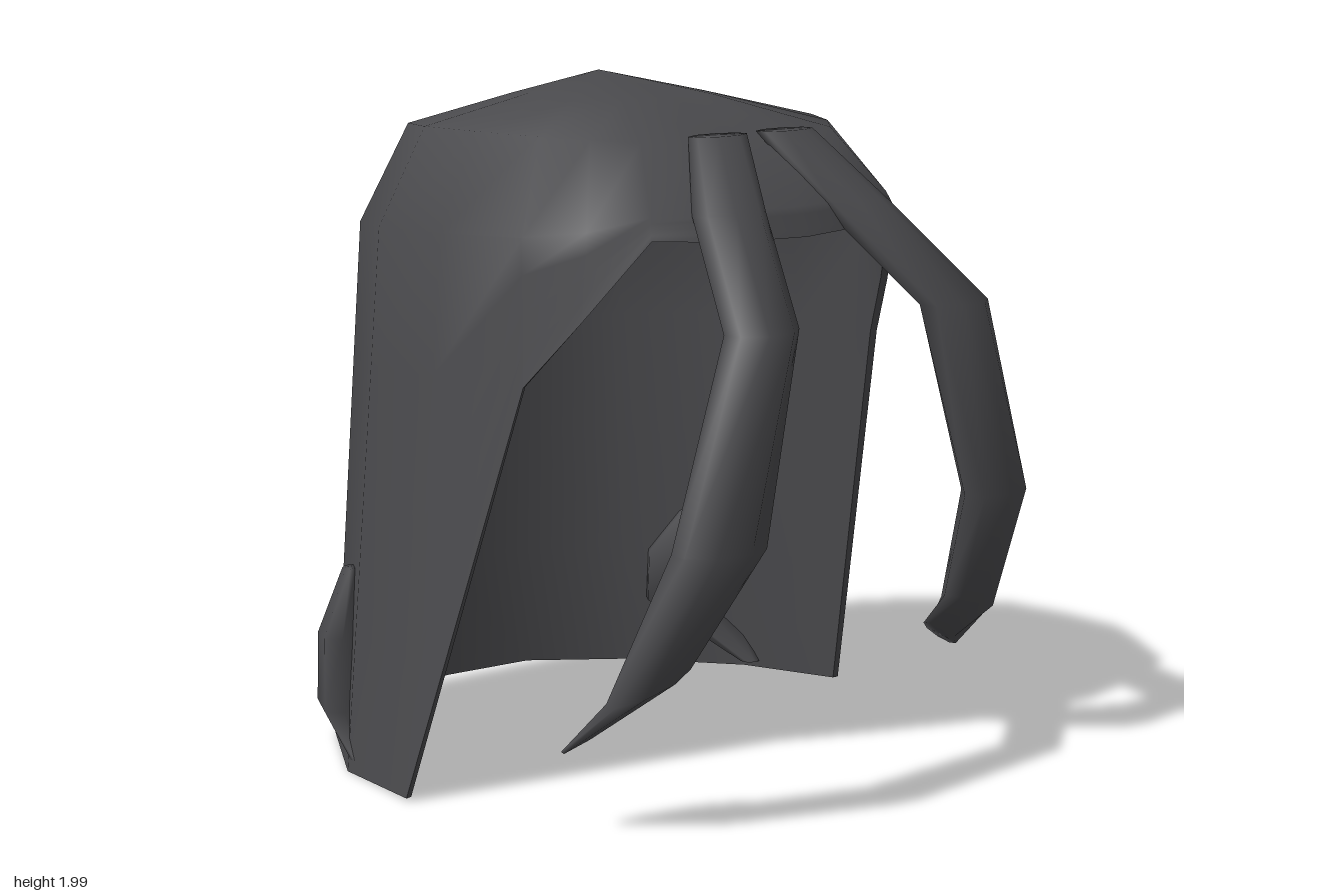
import * as THREE from 'three';
import { mergeVertices } from 'three/addons/utils/BufferGeometryUtils.js';

const V = (x, y, z) => new THREE.Vector3(x, y, z);

// Skins a stack of closed rings (top to bottom, clockwise from above)
function loft(rings) {
  const pos = [];
  const tri = (a, b, c) => {
    if (a.distanceTo(b) < 1e-5 || b.distanceTo(c) < 1e-5 || c.distanceTo(a) < 1e-5) return;
    for (const p of [a, b, c]) pos.push(p.x, p.y, p.z);
  };
  for (let i = 0; i < rings.length - 1; i++) {
    const n = rings[i].length;
    for (let j = 0; j < n; j++) {
      const k = (j + 1) % n;
      const a = rings[i][j], b = rings[i][k], c = rings[i + 1][j], d = rings[i + 1][k];
      tri(a, b, d);
      tri(a, d, c);
    }
  }
  let g = new THREE.BufferGeometry();
  g.setAttribute('position', new THREE.Float32BufferAttribute(pos, 3));
  g = mergeVertices(g, 1e-4);
  g.computeVertexNormals();
  return g;
}

// Lock of hair from sections [x, y, z, half width, half depth, tilt, turn], capped at both ends
function lock(sections, side) {
  const rings = sections.map(([x, y, z, rx, rz, tilt, turn]) => {
    const ring = [];
    const c = Math.cos(turn), s = Math.sin(turn);
    for (let k = 0; k < 8; k++) {
      const a = ((k + 0.5) / 8) * Math.PI * 2;
      const u = Math.cos(a) * rx * 1.06, w = Math.sin(a) * rz * 1.06;
      ring.push(V((x + u * c - w * s) * side, y - u * tilt, z + u * s + w * c));
    }
    return side < 0 ? ring.reverse() : ring;
  });
  const cap = ([x, y, z]) => Array.from({ length: 8 }, () => V(x * side, y, z));
  return loft([cap(sections[0]), ...rings, cap(sections[sections.length - 1])]);
}

// Half outline from back to front: [crown x, crown y, crown z, hem x, hem y, hem z]
const OUTLINE = [
  [0, 1.54, -0.85, 0, 0.03, -0.93],
  [0.29, 1.54, -0.81, 0.31, 0.03, -0.88],
  [0.53, 1.56, -0.66, 0.62, 0.01, -0.71],
  [0.69, 1.58, -0.38, 0.84, 0.01, -0.38],
  [0.715, 1.59, -0.08, 0.905, 0.02, -0.04],
  [0.69, 1.60, 0.22, 0.725, 1.20, 0.26],
  [0.60, 1.62, 0.38, 0.625, 1.38, 0.385],
  [0.48, 1.66, 0.50, 0.50, 1.60, 0.525],
  [0.26, 1.66, 0.57, 0.27, 1.585, 0.60],
  [0, 1.66, 0.59, 0, 1.58, 0.63],
];
const CENTRE_Z = -0.17;

// Rings of the shell, moved inward by the given inset
function shellRings(inset) {
  const mirrored = OUTLINE.slice(1, -1).reverse().map(([x, y, z, hx, hy, hz]) => [-x, y, z, -hx, hy, hz]);
  const columns = [...OUTLINE, ...mirrored];
  const rings = [columns.map(() => V(0, 2 - inset, -0.2))];
  // Domed top: [scale, height, extra height toward the sides]
  for (const [s, h, lift] of [[0.38, 1.935, 0], [0.8, 1.81, 0.05]]) {
    rings.push(columns.map(([x, , z]) =>
      V(x * s, h - inset + lift * Math.abs(x) / 0.71, CENTRE_Z + (z - CENTRE_Z) * s)));
  }
  // Walls from the crown to the hem
  for (const t of [0, 0.25, 0.5, 0.75, 1]) {
    rings.push(columns.map(([x, y, z, hx, hy, hz]) => V(x, y, z).lerp(V(hx, hy, hz), t)));
  }
  for (const p of rings.slice(1).flat()) {
    const r = Math.hypot(p.x, p.z - CENTRE_Z);
    p.x -= (p.x / r) * inset;
    p.z -= ((p.z - CENTRE_Z) / r) * inset;
  }
  return rings;
}

const FRONT_LOCK = [
  [0.135, 1.855, 0.415, 0.1, 0.045, 0, 0],
  [0.25, 1.66, 0.57, 0.115, 0.075, 0, 0],
  [0.395, 1.38, 0.83, 0.115, 0.075, 0, 0],
  [0.57, 0.82, 0.847, 0.13, 0.08, 0, -0.25],
  [0.665, 0.44, 0.68, 0.115, 0.065, 0.35, -0.3],
  [0.705, 0.31, 0.545, 0.12, 0.025, 0.5, -0.35],
];

const SIDE_TUFT = [
  [0.73, 0.58, -0.49, 0.03, 0.02, 0, 0.68],
  [0.725, 0.39, -0.53, 0.14, 0.065, 0, 0.68],
  [0.725, 0.2, -0.53, 0.145, 0.07, 0.2, 0.68],
  [0.81, 0.035, -0.34, 0.03, 0.03, 0, 0.68],
];

export function createModel() {
  const model = new THREE.Group();
  model.name = 'hair';
  const charcoal = new THREE.MeshStandardMaterial({ color: 0x4a4a4d, side: THREE.DoubleSide });
  charcoal.name = 'charcoal';

  const add = (name, geometry) => {
    const mesh = new THREE.Mesh(geometry, charcoal);
    mesh.name = name;
    model.add(mesh);
  };

  // Outer shell, inner lining and the narrow hem that joins them
  const outer = shellRings(0), inner = shellRings(0.02);
  add('hairShell', loft(outer));
  add('hairLining', loft(inner));
  add('hem', loft([outer.at(-1), inner.at(-1)]));

  for (const [side, label] of [[1, 'left'], [-1, 'right']]) {
    add(label + 'FrontLock', lock(FRONT_LOCK, side));
    add(label + 'SideTuft', lock(SIDE_TUFT, side));
  }
  return model;
}
